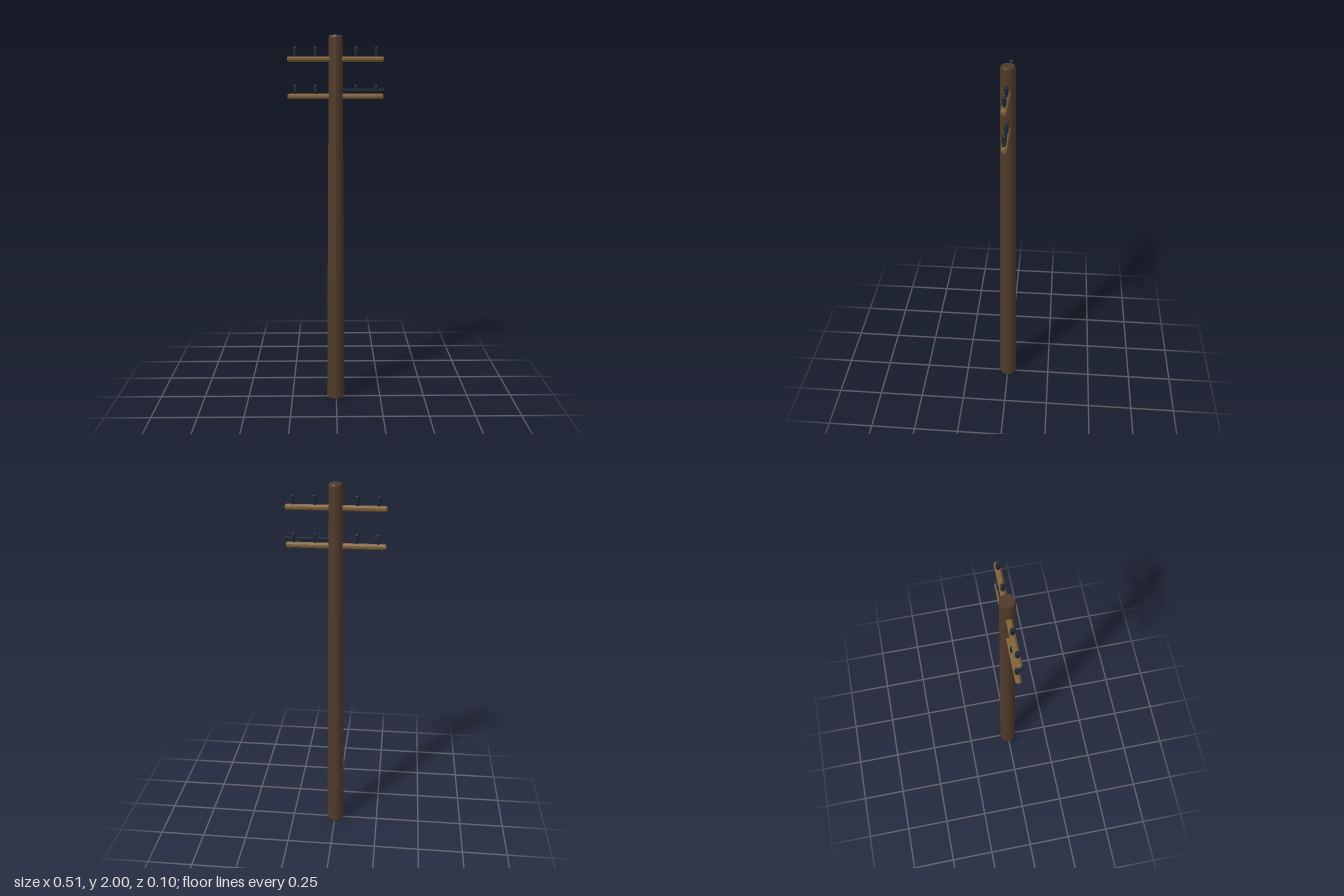
import * as THREE from 'three';

const paint = (color) => new THREE.MeshStandardMaterial({ color, flatShading: true });
const poleWood = paint(0x4f3a29);
const armWood = paint(0x7d6038);
const glass = paint(0x1b2632);

// Faceted solid of revolution from [radius, height] pairs, bottom to top.
function turned(name, profile, sides, material) {
  const points = profile.map(([r, y]) => new THREE.Vector2(r, y));
  const mesh = new THREE.Mesh(new THREE.LatheGeometry(points, sides), material);
  mesh.name = name;
  return mesh;
}

// Bevelled bar lying along x, from x0 to x1.
function bar(name, x0, x1, y, radius, bevel, sides, material) {
  const length = x1 - x0;
  const mesh = turned(name, [
    [0, 0], [radius * 0.7, 0], [radius, bevel],
    [radius, length - bevel], [radius * 0.7, length], [0, length],
  ], sides, material);
  mesh.geometry.rotateY(Math.PI / sides); // flat face up
  mesh.rotation.z = -Math.PI / 2;
  mesh.position.set(x0, y, 0);
  return mesh;
}

export function createModel() {
  const model = new THREE.Group();
  model.name = 'utilityPole';

  // Tapered pole with chamfered ends
  const pole = turned('pole', [
    [0, 0], [0.044, 0], [0.049, 0.01], [0.036, 1.99], [0.032, 2], [0, 2],
  ], 12, poleWood);
  pole.position.x = -0.003;
  model.add(pole);

  // Two crossarms, each carrying four insulators
  for (const [level, y] of [['upper', 1.88], ['lower', 1.69]]) {
    const assembly = new THREE.Group();
    assembly.name = level + 'Crossarm';
    assembly.add(bar('arm', -0.255, 0.247, y, 0.015, 0.007, 8, armWood));
    for (const x of [-0.214, -0.108, 0.102, 0.208]) {
      const insulator = turned('insulator', [
        [0, 0], [0.007, 0], [0.007, 0.01], [0.0105, 0.012],
        [0.0105, 0.046], [0.0075, 0.051], [0, 0.051],
      ], 8, glass);
      insulator.geometry.rotateY(Math.PI / 8);
      insulator.position.set(x, y + 0.011, 0);
      assembly.add(insulator);
    }
    model.add(assembly);
  }

  // Dark rod above the left half of the lower arm
  model.add(bar('sideRod', 0.02, 0.255, 1.722, 0.0085, 0.004, 6, glass));

  return model;
}
